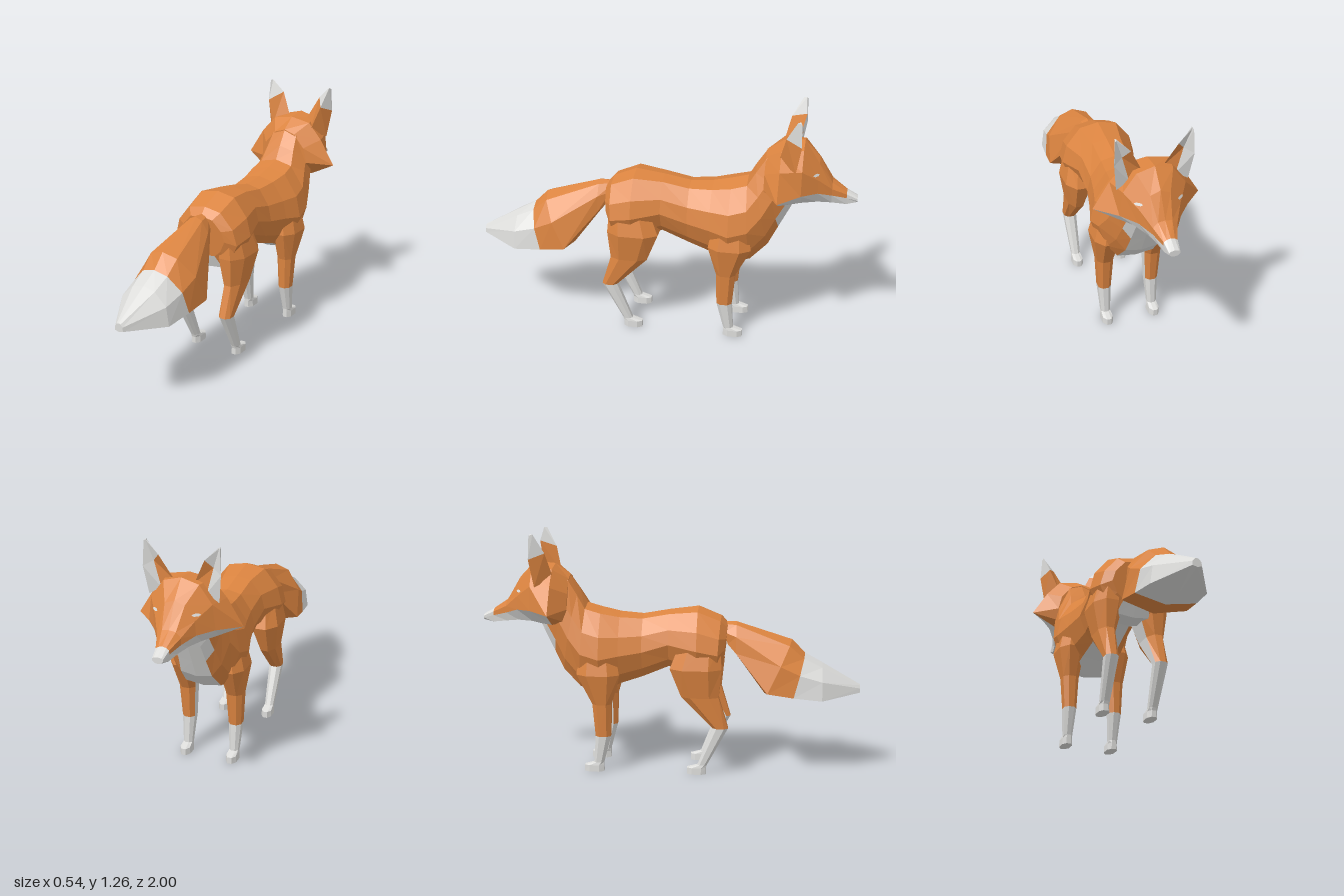
import * as THREE from 'three';

const orange = new THREE.MeshStandardMaterial({ color: 0xdb8440, flatShading: true });
orange.name = 'orange fur';
const white = new THREE.MeshStandardMaterial({ color: 0xdcdcda, flatShading: true });
white.name = 'white fur';

// Skin closed rings of points into a capped solid; isWhite(section, segment) picks the colour.
function loft(name, rings, isWhite, capWhite = [false, false]) {
  const tris = [[], []];
  const last = rings.length - 1, n = rings[0].length;
  for (let i = 0; i < last; i++) {
    for (let j = 0; j < n; j++) {
      const k = (j + 1) % n, [a, b, c, d] = [rings[i][j], rings[i][k], rings[i + 1][k], rings[i + 1][j]];
      tris[isWhite(i, j) ? 1 : 0].push([a, b, c], [a, c, d]);
    }
  }
  [rings[0], rings[last]].forEach((ring, e) => {
    const mid = [0, 1, 2].map(c => ring.reduce((s, p) => s + p[c], 0) / n);
    ring.forEach((p, j) => {
      const q = ring[(j + 1) % n];
      tris[capWhite[e] ? 1 : 0].push(e ? [p, q, mid] : [q, p, mid]);
    });
  });
  // Signed volume tells whether the corners need reversing.
  let volume = 0;
  const v = p => new THREE.Vector3(...p);
  for (const t of tris.flat()) volume += v(t[0]).dot(v(t[1]).cross(v(t[2])));
  const ordered = tris.map(list => list.map(t => (volume < 0 ? [t[0], t[2], t[1]] : t)));
  const geo = new THREE.BufferGeometry();
  geo.setAttribute('position', new THREE.Float32BufferAttribute(ordered.flat(3), 3));
  geo.addGroup(0, ordered[0].length * 3, 0);
  geo.addGroup(ordered[0].length * 3, ordered[1].length * 3, 1);
  geo.computeVertexNormals();
  const mesh = new THREE.Mesh(geo, [orange, white]);
  mesh.name = name;
  return mesh;
}

// Complete a half ring (top centre to bottom centre) by mirroring across x.
const mirrorRing = half => [...half, ...half.slice(1, -1).reverse().map(([x, y, z]) => [-x, y, z])];
// Segment index counted from the top centre, the same on both sides.
const fromTop = (j, half) => (j < half ? j : 2 * half - 1 - j);

// Ring slung between a top and a bottom point, with widths from a profile of [drop, width].
const slungRing = (profile, [tz, ty, bz, by, w]) =>
  mirrorRing(profile.map(([t, x]) => [x * w, ty + (by - ty) * t, tz + (bz - tz) * t]));

function makeBody() {
  const profile = [[0, 0], [0.05, 0.5], [0.3, 0.88], [0.55, 1], [0.82, 0.78], [0.97, 0.5], [1, 0]];
  const sections = [ // top z, top y, bottom z, bottom y, half width
    [0.305, 0.79, 0.28, 0.57, 0.13], [0.27, 0.83, 0.25, 0.5, 0.185], [0.15, 0.88, 0.15, 0.5, 0.2],
    [0, 0.86, 0, 0.56, 0.155], [-0.14, 0.835, -0.14, 0.5, 0.15], [-0.26, 0.845, -0.26, 0.46, 0.175],
    [-0.36, 0.868, -0.36, 0.41, 0.203], [-0.44, 0.89, -0.47, 0.44, 0.19], [-0.48, 0.96, -0.56, 0.53, 0.165],
    [-0.53, 1.035, -0.61, 0.63, 0.145], [-0.57, 1.05, -0.66, 0.73, 0.13], [-0.62, 1.05, -0.69, 0.79, 0.1],
  ];
  return loft('body', sections.map(s => slungRing(profile, s)),
    (i, j) => fromTop(j, 6) >= (i >= 9 ? 4 : 5));
}

function makeTail() {
  const profile = [[0, 0], [0.08, 0.45], [0.4, 0.9], [0.88, 1], [1, 0]];
  const sections = [
    [0.27, 0.8, 0.31, 0.67, 0.05], [0.35, 0.8, 0.35, 0.62, 0.08], [0.64, 0.71, 0.5, 0.415, 0.172],
    [0.71, 0.64, 0.645, 0.4, 0.16], [0.8, 0.59, 0.8, 0.388, 0.145], [1, 0.475, 1, 0.43, 0.024],
  ];
  return loft('tail', sections.map(s => slungRing(profile, s)), i => i >= 3, [false, true]);
}

function makeHead() {
  const sections = [ // z, then half outline from crown to throat
    [-0.53, [0, 1.04], [0.06, 1.02], [0.12, 0.95], [0.14, 0.87], [0.1, 0.79], [0, 0.77]],
    [-0.61, [0, 1.095], [0.11, 1.075], [0.185, 0.99], [0.268, 0.855], [0.14, 0.79], [0, 0.75]],
    [-0.72, [0, 1.105], [0.09, 1.08], [0.155, 0.99], [0.17, 0.865], [0.1, 0.8], [0, 0.78]],
    [-0.8, [0, 1.02], [0.05, 1], [0.1, 0.93], [0.105, 0.86], [0.07, 0.8], [0, 0.79]],
    [-0.87, [0, 0.9], [0.035, 0.895], [0.06, 0.87], [0.06, 0.835], [0.045, 0.79], [0, 0.785]],
    [-0.945, [0, 0.85], [0.02, 0.845], [0.034, 0.835], [0.034, 0.815], [0.03, 0.78], [0, 0.775]],
    [-1, [0, 0.82], [0.02, 0.816], [0.027, 0.81], [0.027, 0.8], [0.016, 0.79], [0, 0.787]],
  ];
  const rings = sections.map(([z, ...half]) => mirrorRing(half.map(([x, y]) => [x, y, z])));
  return loft('head', rings, (i, j) => i === 5 || (i >= 1 && fromTop(j, 5) >= 3), [false, true]);
}

// Ear corners run inner, hollow, outer, back; the hollow's outer half and the tip are white.
function makeEar(side) {
  const rings = [
    [[0.05, 1.07, -0.68], [0.115, 1.03, -0.69], [0.178, 0.99, -0.69], [0.12, 1.03, -0.6]],
    [[0.115, 1.2, -0.715], [0.15, 1.16, -0.69], [0.196, 1.135, -0.715], [0.165, 1.165, -0.635]],
    [[0.18, 1.265, -0.705], [0.184, 1.262, -0.705], [0.19, 1.258, -0.71], [0.186, 1.264, -0.69]],
  ].map(r => r.map(([x, y, z]) => [x * side, y, z]));
  return loft('ear', rings, (i, j) => i === 1 || j === 1, [false, true]);
}

function makeEye(side) {
  const eye = new THREE.Mesh(new THREE.CircleGeometry(1, 6), white);
  const normal = new THREE.Vector3(0.57 * side, 0.41, -0.71);
  eye.position.set(0.1 * side, 0.956, -0.785).addScaledVector(normal, 0.006);
  eye.lookAt(eye.position.clone().add(normal));
  eye.scale.set(0.023, 0.008, 1);
  eye.name = 'eye';
  return eye;
}

// Leg sections: y, front z, back z, inner x, outer x, as chamfered rectangles.
function makeLeg(name, side, sections, sock) {
  const rings = sections.map(([y, f, b, xi, xo]) => {
    const cx = (xo - xi) * 0.28, cz = (b - f) * 0.25;
    return [[xi, f + cz], [xi, b - cz], [xi + cx, b], [xo - cx, b], [xo, b - cz], [xo, f + cz], [xo - cx, f], [xi + cx, f]]
      .map(([x, z]) => [x * side, y, z]);
  });
  return loft(name, rings, (i, j) => i >= sock || j === 0, [false, true]);
}

export function createModel() {
  const fox = new THREE.Group();
  fox.name = 'fox';
  fox.add(makeBody(), makeTail(), makeHead());
  const hind = [
    [0.7, 0.06, 0.27, 0.06, 0.17], [0.57, 0.01, 0.28, 0.045, 0.203], [0.42, 0.07, 0.265, 0.085, 0.178],
    [0.255, 0.235, 0.315, 0.098, 0.166], [0.05, 0.155, 0.205, 0.105, 0.152],
    [0.035, 0.1, 0.2, 0.102, 0.155], [0, 0.1, 0.2, 0.1, 0.156],
  ];
  const fore = [
    [0.66, -0.46, -0.28, 0.06, 0.17], [0.53, -0.48, -0.255, 0.06, 0.2], [0.37, -0.4, -0.3, 0.085, 0.172],
    [0.195, -0.385, -0.305, 0.095, 0.162], [0.05, -0.395, -0.343, 0.105, 0.152],
    [0.035, -0.445, -0.343, 0.102, 0.155], [0, -0.445, -0.343, 0.1, 0.156],
  ];
  for (const side of [1, -1]) {
    fox.add(makeEar(side), makeEye(side));
    fox.add(makeLeg('hindLeg', side, hind, 3), makeLeg('foreLeg', side, fore, 3));
  }
  return fox;
}
